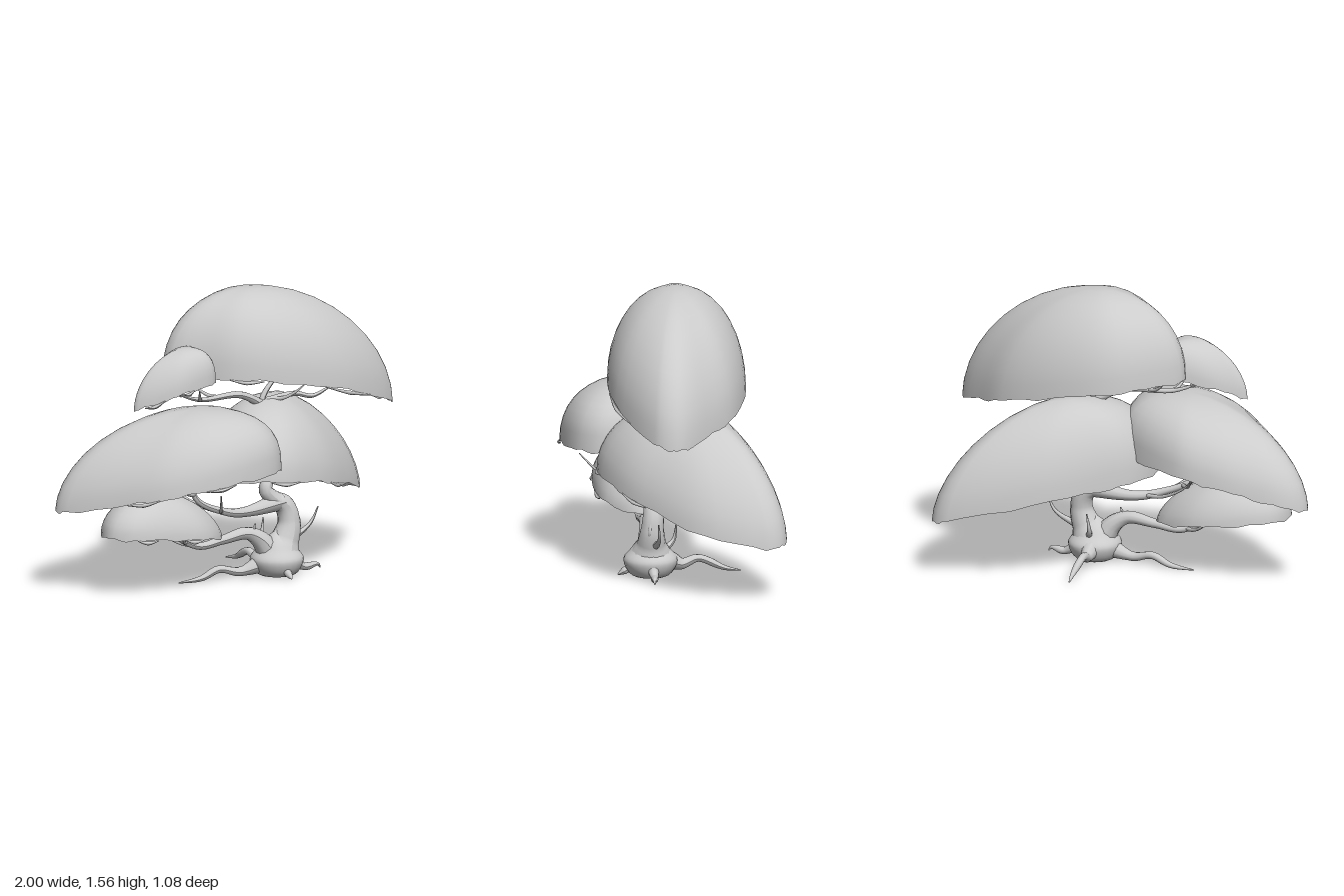
import * as THREE from 'three';

const grey = new THREE.MeshStandardMaterial({ color: 0xcccccc });
const shell = new THREE.MeshStandardMaterial({ color: 0xcccccc, side: THREE.DoubleSide });
const vec = (p) => new THREE.Vector3(...p);
const spline = (points, closed = false) => new THREE.CatmullRomCurve3(points, closed, 'centripetal');

// Tube whose radius follows a list of radii along its path
function limb(name, points, radii, sides = 10) {
  const steps = points.length * 6, curve = spline(points);
  const g = new THREE.TubeGeometry(curve, steps, 1, sides, false);
  const p = g.attributes.position, v = new THREE.Vector3();
  for (let i = 0; i <= steps; i++) {
    const f = (i / steps) * (radii.length - 1), k = Math.min(Math.floor(f), radii.length - 2);
    const r = THREE.MathUtils.lerp(radii[k], radii[k + 1], f - k);
    const c = curve.getPointAt(i / steps);
    for (let j = 0; j <= sides; j++) {
      const n = i * (sides + 1) + j;
      v.fromBufferAttribute(p, n).sub(c).multiplyScalar(r).add(c);
      p.setXYZ(n, v.x, v.y, v.z);
    }
  }
  g.computeVertexNormals();
  const m = new THREE.Mesh(g, grey);
  m.name = name;
  return m;
}

// Open dome of leaves: a rim outline [x, z], clockwise from above, swept up to an apex.
// The rim height curves from highY at the inner end to lowY at the outer end;
// thin and full set the roundness of the outer and inner flanks.
function canopy(name, { apex, outline, inner, outer, highY, lowY, tilt = 0, thin, full }) {
  const seg = outline.length * 4, rings = 10, top = vec(apex), sign = Math.sign(outer - inner);
  const rim = spline(outline.map(([x, z]) => {
    const s = (x - inner) / (outer - inner);
    return new THREE.Vector3(x, highY + (lowY - highY) * s * s + tilt * z, z);
  }), true);
  const pos = [...apex], index = [];
  for (let i = 1; i <= rings; i++) {
    const t = Math.sin((i / rings) * Math.PI / 2);
    for (let j = 0; j < seg; j++) {
      const p = rim.getPoint(j / seg), dx = p.x - top.x, dz = p.z - top.z;
      const side = sign * dx / Math.hypot(dx, dz);
      const e = THREE.MathUtils.lerp(full, thin, (side + 1) / 2);
      const h = Math.pow(Math.max(0, 1 - Math.pow(t, e)), 1 / e);
      // slightly ragged lower edge
      const torn = i === rings ? 0.005 * (Math.sin(j * 2.3) + Math.sin(j * 5.1 + 1)) : 0;
      pos.push(top.x + dx * t, p.y + (top.y - p.y) * h + torn, top.z + dz * t);
    }
  }
  const at = (i, j) => (i === 0 ? 0 : 1 + (i - 1) * seg + (j % seg));
  for (let i = 0; i < rings; i++) {
    for (let j = 0; j < seg; j++) {
      const a = at(i, j), c = at(i + 1, j + 1);
      if (i > 0) index.push(a, at(i, j + 1), c);
      index.push(a, c, at(i + 1, j));
    }
  }
  const g = new THREE.BufferGeometry();
  g.setAttribute('position', new THREE.Float32BufferAttribute(pos, 3));
  g.setIndex(index);
  g.computeVertexNormals();
  const dome = new THREE.Mesh(g, shell);
  dome.name = 'leafDome';
  const group = new THREE.Group();
  group.name = name;
  group.add(dome);
  // loose sprigs hanging along the front of the rim
  for (const t of [0.66, 0.8]) {
    const path = [0, 0.03, 0.06].map((d) => rim.getPoint(t + d));
    path[1].y -= 0.012;
    group.add(limb('leafSprig', path, [0.003, 0.011, 0.003], 6));
  }
  return group;
}

// Branch with twigs fanning out around its outer part, shorter towards the tip
function branch(name, path, radii, { count, from, length, rise }) {
  const points = path.map(vec), curve = spline(points);
  const group = new THREE.Group();
  group.name = name;
  group.add(limb('branchStem', points, radii));
  for (let i = 0; i < count; i++) {
    const u = from + (0.85 - from) * i / (count - 1);
    const start = curve.getPointAt(u), dir = curve.getTangentAt(u).setY(0);
    dir.applyAxisAngle(new THREE.Vector3(0, 1, 0), (i % 2 ? 1 : -1) * (0.7 + 0.2 * (i % 3))).normalize();
    const twig = [0, 0.35, 0.7, 1].map((k) => {
      const p = start.clone().addScaledVector(dir, length * (1.3 - u) * k);
      p.y += rise * k * k;
      return p;
    });
    group.add(limb('twig', twig, [0.013, 0.01, 0.007, 0.003], 7));
  }
  return group;
}

export function createModel() {
  const tree = new THREE.Group();
  tree.name = 'tree';

  // Canopy pads
  tree.add(
    canopy('topCanopy', {
      apex: [0.18, 1.565, -0.03], inner: -0.32, outer: 0.99, highY: 1.12, lowY: 0.86, tilt: 0.05, thin: 1.85, full: 2.2,
      outline: [[-0.32, -0.095], [-0.21, -0.24], [0.016, -0.385], [0.337, -0.395], [0.647, -0.3], [0.83, -0.15],
        [0.968, 0], [0.99, 0.08], [0.936, 0.176], [0.567, 0.337], [0.17, 0.33], [-0.064, 0.23], [-0.2, 0.08]],
    }),
    canopy('upperRightCanopy', {
      apex: [-0.3, 1.3, 0.08], inner: -0.155, outer: -0.61, highY: 1.11, lowY: 0.99, thin: 1.8, full: 2.9,
      outline: [[-0.61, 0.07], [-0.54, 0.02], [-0.38, -0.06], [-0.18, -0.08],
        [-0.155, 0.06], [-0.17, 0.19], [-0.33, 0.22], [-0.45, 0.2], [-0.6, 0.1]],
    }),
    canopy('middleRightCanopy', {
      apex: [-0.27, 0.975, 0.14], inner: 0.13, outer: -1, highY: 0.65, lowY: 0.45, thin: 1.8, full: 2.8,
      outline: [[-1, -0.09], [-0.93, -0.17], [-0.75, -0.235], [-0.53, -0.27], [-0.3, -0.25], [0.06, -0.02],
        [0.13, 0.2], [0.13, 0.37], [0.027, 0.48], [-0.2, 0.53], [-0.4, 0.51], [-0.61, 0.417], [-0.76, 0.27], [-0.98, -0.01]],
    }),
    canopy('middleLeftCanopy', {
      apex: [0.34, 0.955, -0.08], inner: -0.12, outer: 1, highY: 0.54, lowY: 0.35, tilt: 0.1, thin: 1.65, full: 2.2,
      outline: [[-0.12, 0.1], [-0.06, -0.12], [0.1, -0.28], [0.417, -0.47], [0.87, -0.545], [0.957, -0.51],
        [0.995, -0.417], [0.904, -0.09], [0.62, 0.2], [0.4, 0.33], [0.14, 0.385], [-0.05, 0.28]],
    }),
    canopy('lowerRightCanopy', {
      apex: [-0.5, 0.54, 0.11], inner: -0.83, outer: -0.09, highY: 0.33, lowY: 0.25, thin: 1.6, full: 2.1,
      outline: [[-0.83, 0.17], [-0.77, 0], [-0.55, -0.1], [-0.3, -0.08],
        [-0.09, 0.1], [-0.25, 0.28], [-0.5, 0.32], [-0.74, 0.28]],
    }),
  );

  // Swollen trunk base
  const profile = [[0, 0.01], [0.1, 0.01], [0.145, 0.09], [0.105, 0.15], [0.065, 0.2], [0, 0.25]];
  const base = new THREE.Mesh(new THREE.LatheGeometry(
    new THREE.SplineCurve(profile.map((p) => new THREE.Vector2(...p))).getPoints(28), 24), grey);
  base.name = 'trunkBase';
  base.position.set(0.26, 0, 0.11);
  tree.add(base);

  // Winding trunk, continuing through the middle canopy to the top one
  tree.add(
    limb('trunk', [[0.27, 0.1, 0.11], [0.335, 0.27, 0.11], [0.315, 0.37, 0.1], [0.24, 0.42, 0.1],
      [0.195, 0.475, 0.1], [0.23, 0.525, 0.09], [0.31, 0.51, 0.07]].map(vec),
    [0.13, 0.078, 0.06, 0.055, 0.042, 0.032, 0.026], 14),
    limb('trunkTop', [[0.28, 0.52, 0.08], [0.35, 0.62, 0.03], [0.23, 0.92, 0], [0.38, 1.12, 0]].map(vec),
      [0.03, 0.022, 0.017, 0.006]),
  );

  // Roots
  const roots = [
    [[0.16, 0.07, 0.1], [0.04, 0.04, 0.09], [-0.08, 0.062, 0.07], [-0.18, 0.022, 0.06], [-0.32, 0.01, 0.05]],
    [[0.25, 0.08, 0], [0.25, 0.06, -0.06], [0.24, 0.085, -0.15], [0.25, 0.03, -0.29], [0.24, 0.01, -0.38]],
    [[0.36, 0.07, 0.11], [0.43, 0.028, 0.11], [0.51, 0.035, 0.12], [0.525, 0.015, 0.12]],
    [[0.25, 0.06, 0.2], [0.25, 0.03, 0.25], [0.25, 0.01, 0.285]],
  ];
  for (const r of roots) tree.add(limb('root', r.map(vec), [0.05, 0.027, 0.02, 0.02, 0.012, 0.003]));

  // Bare shoots on the trunk
  const shoots = [
    [[0.33, 0.17, 0.1], [0.48, 0.255, 0.09], [0.525, 0.345, 0.1]],
    [[0.33, 0.21, 0.11], [0.385, 0.26, 0.13], [0.38, 0.34, 0.12]],
    [[0.28, 0.13, 0.06], [0.25, 0.19, -0.015], [0.26, 0.29, -0.03]],
    [[0.15, 0.21, 0.11], [0.11, 0.26, 0.12], [0.12, 0.3, 0.12]],
  ];
  for (const s of shoots) tree.add(limb('shoot', s.map(vec), [0.024, 0.012, 0.003], 7));

  // Branches reaching into the pads
  tree.add(
    branch('lowerBranch', [[0.22, 0.12, 0.11], [0.15, 0.21, 0.11], [0.07, 0.25, 0.11], [-0.08, 0.23, 0.11],
      [-0.24, 0.215, 0.11], [-0.47, 0.36, 0.12], [-0.55, 0.46, 0.12]],
    [0.07, 0.036, 0.024, 0.018, 0.016, 0.005], { count: 5, from: 0.58, length: 0.28, rise: 0.08 }),
    branch('middleBranch', [[0.29, 0.4, 0.1], [0.06, 0.37, 0.12], [-0.08, 0.39, 0.15],
      [-0.29, 0.5, 0.17], [-0.28, 0.75, 0.15]],
    [0.052, 0.028, 0.019, 0.014, 0.006], { count: 5, from: 0.35, length: 0.38, rise: 0.15 }),
    branch('upperBranch', [[0.26, 0.9, 0], [0.08, 0.99, 0.03], [-0.2, 1.0, 0.06], [-0.4, 1.08, 0.08]],
      [0.026, 0.018, 0.012, 0.004], { count: 3, from: 0.5, length: 0.17, rise: 0.07 }),
    branch('leftBranch', [[0.28, 0.52, 0.08], [0.4, 0.5, 0.02], [0.52, 0.47, -0.08], [0.7, 0.56, -0.24]],
      [0.03, 0.024, 0.015, 0.005], { count: 4, from: 0.2, length: 0.22, rise: 0.08 }),
    branch('topBranch', [[0.25, 0.93, 0], [0.42, 0.96, 0.03], [0.52, 0.94, 0.05], [0.66, 1.0, 0.06]],
      [0.02, 0.015, 0.011, 0.004], { count: 2, from: 0.1, length: 0.16, rise: 0.1 }),
  );

  return tree;
}
